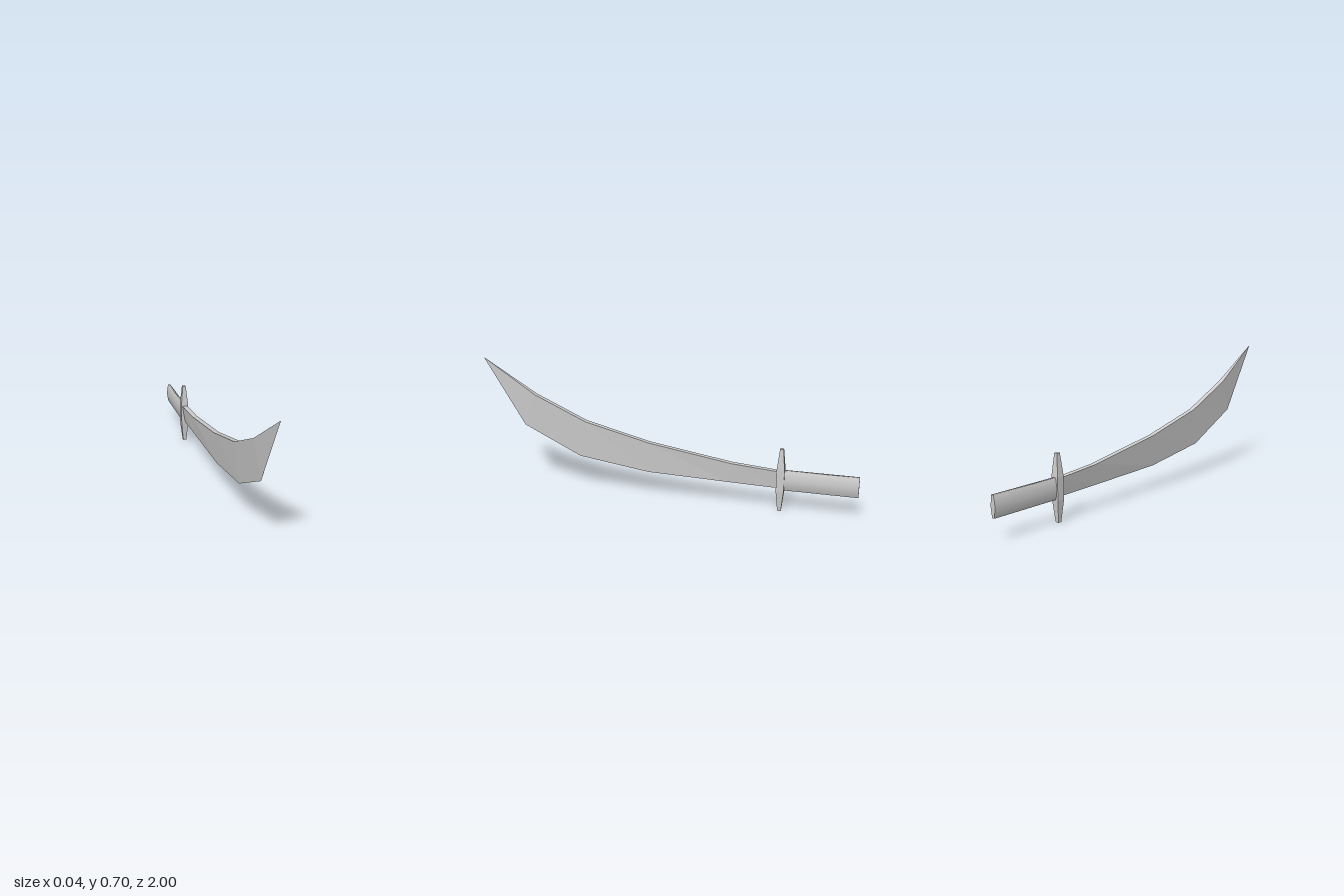
import * as THREE from 'three';

const steel = new THREE.MeshStandardMaterial({ color: 0xcccccc });
steel.name = 'steel';

function addMesh(group, name, geometry) {
  const mesh = new THREE.Mesh(geometry, steel);
  mesh.name = name;
  group.add(mesh);
  return mesh;
}

// Skins equal rings of points [x, y, z] with flat faces and closes both ends.
// Rings run anticlockwise seen from the end the loft travels towards.
function loft(rings) {
  const points = [];
  const n = rings[0].length;
  const tri = (a, b, c) => points.push(...a, ...b, ...c);
  for (let i = 0; i < rings.length - 1; i++) {
    for (let j = 0; j < n; j++) {
      const k = (j + 1) % n;
      const a = rings[i], b = rings[i + 1];
      tri(a[j], a[k], b[k]);
      tri(a[j], b[k], b[j]);
    }
  }
  const first = rings[0], last = rings[rings.length - 1];
  for (let j = 1; j < n - 1; j++) {
    tri(first[0], first[j + 1], first[j]);
    tri(last[0], last[j], last[j + 1]);
  }
  const geometry = new THREE.BufferGeometry();
  geometry.setAttribute('position', new THREE.Float32BufferAttribute(points, 3));
  geometry.computeVertexNormals();
  return geometry;
}

export function createModel() {
  const group = new THREE.Group();
  group.name = 'curvedSword';

  // Blade: wedge sections with a flat spine and a sharp lower edge
  // [spine z, spine y, edge z, edge y, half thickness]
  const sections = [
    [-0.61, 0.215, -0.61, 0.121, 0.014],
    [-0.36, 0.235, -0.34, 0.127, 0.014],
    [0.08, 0.305, 0.09, 0.138, 0.014],
    [0.43, 0.392, 0.47, 0.192, 0.014],
    [0.71, 0.518, 0.78, 0.342, 0.014],
    [1, 0.702, 1, 0.702, 0.0002],
  ];
  addMesh(group, 'blade', loft(sections.map(([sz, sy, ez, ey, w]) => [
    [w, sy, sz], [-w, sy, sz], [0, ey, ez],
  ])));

  // Guard: square bar tapering towards both ends
  const guardZ = -0.61;
  const guardSteps = [[0, 0.009], [0.11, 0.02], [0.225, 0.02], [0.336, 0.009]];
  addMesh(group, 'guard', loft(guardSteps.map(([y, r]) => [
    [-r, y, guardZ + r], [r, y, guardZ + r], [r, y, guardZ - r], [-r, y, guardZ - r],
  ])));

  // Grip: flattened six-sided bar with smooth sides
  const grip = new THREE.CylinderGeometry(1, 1, 0.39, 6);
  grip.rotateY(Math.PI / 2);
  grip.rotateX(Math.PI / 2);
  grip.scale(0.015, 0.0612, 1);
  grip.translate(0, 0.168, -0.805);
  addMesh(group, 'grip', grip);

  return group;
}
